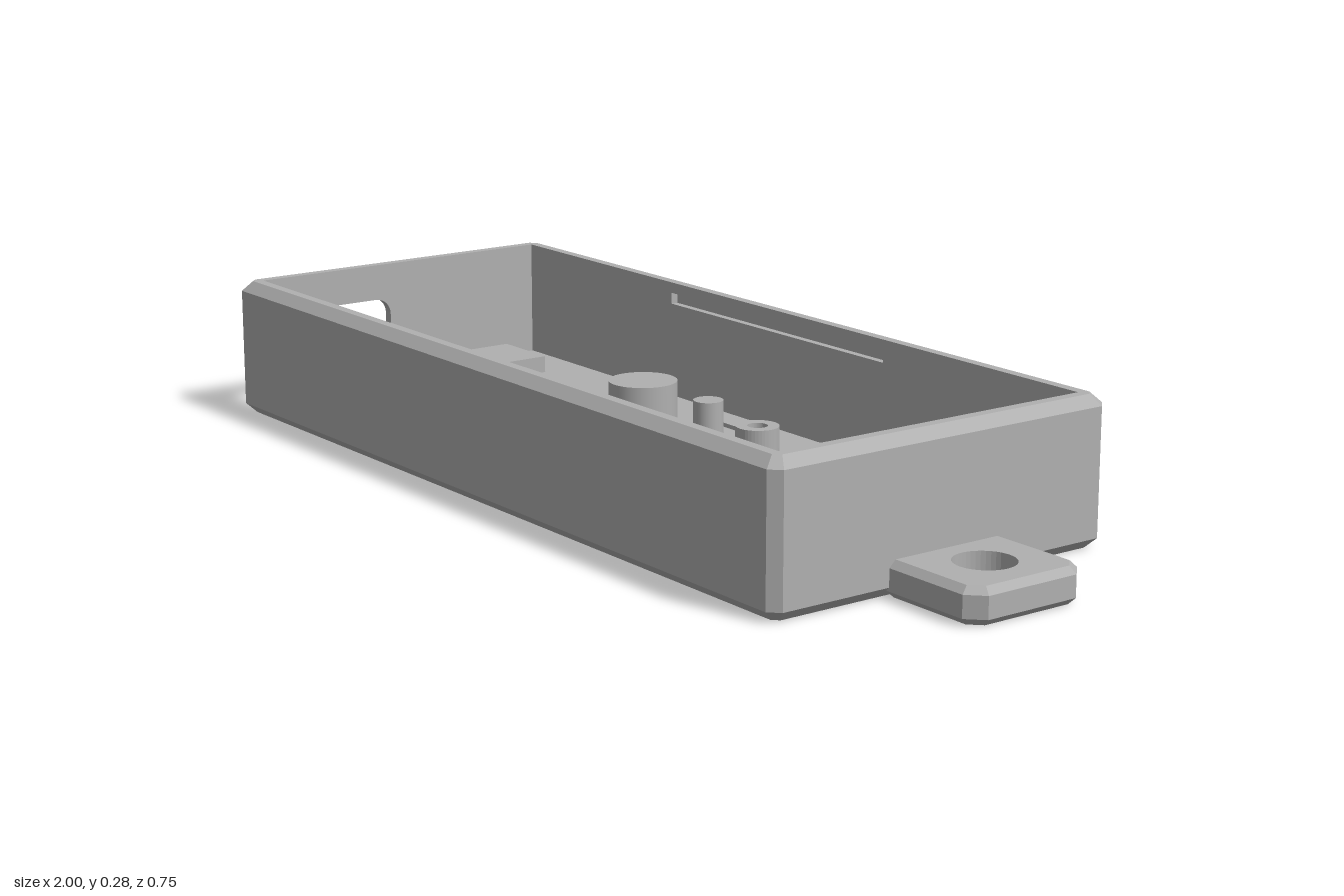
import * as THREE from 'three';

const grey = new THREE.MeshStandardMaterial({ color: 0xb0b0b0 });
grey.name = 'grey plastic';

// Rectangle with cut corners, as [x, z] points
function octagon(x0, x1, z0, z1, c) {
  return [[x1, z0 + c], [x1, z1 - c], [x1 - c, z1], [x0 + c, z1],
    [x0, z1 - c], [x0, z0 + c], [x0 + c, z0], [x1 - c, z0]];
}
const rect = (x0, x1, y0, y1) => [[x0, y0], [x1, y0], [x1, y1], [x0, y1]];
const vectors = (pts) => pts.map(([x, y]) => new THREE.Vector2(x, y));

function shapeOf(pts, ...holes) {
  const shape = new THREE.Shape(vectors(pts));
  shape.holes.push(...holes);
  return shape;
}
const polyHole = (pts) => new THREE.Path(vectors(pts));
const roundHole = (x, y, r) => new THREE.Path().absarc(x, y, r, 0, Math.PI * 2, true);

function roundedHole(x0, x1, y0, y1, r) {
  const p = new THREE.Path();
  p.absarc(x1 - r, y1 - r, r, 0, Math.PI / 2);
  p.absarc(x0 + r, y1 - r, r, Math.PI / 2, Math.PI);
  p.absarc(x0 + r, y0 + r, r, Math.PI, Math.PI * 1.5);
  p.absarc(x1 - r, y0 + r, r, Math.PI * 1.5, Math.PI * 2);
  p.closePath();
  return p;
}

const extrude = (shape, depth) =>
  new THREE.ExtrudeGeometry(shape, { depth, bevelEnabled: false, curveSegments: 20 });
// Horizontal slab: shape drawn in x, z, from y0 up to y1
const slab = (shape, y0, y1) => extrude(shape, y1 - y0).rotateX(Math.PI / 2).translate(0, y1, 0);
// End wall: shape drawn in z, y, from x0 to x1
const endWall = (shape, x0, x1) => extrude(shape, x1 - x0).rotateY(-Math.PI / 2).translate(x1, 0, 0);

// Flat-faced skin through sections [y, points]; skip(band, side) leaves a face open
function loft(sections, skip = () => false) {
  const pos = [];
  for (let k = 0; k < sections.length - 1; k++) {
    const [y0, low] = sections[k], [y1, high] = sections[k + 1];
    for (let i = 0; i < low.length; i++) {
      if (skip(k, i)) continue;
      const j = (i + 1) % low.length;
      const a = [low[i][0], y0, low[i][1]], b = [low[j][0], y0, low[j][1]];
      const c = [high[j][0], y1, high[j][1]], d = [high[i][0], y1, high[i][1]];
      pos.push(...a, ...d, ...c, ...a, ...c, ...b);
    }
  }
  const g = new THREE.BufferGeometry();
  g.setAttribute('position', new THREE.Float32BufferAttribute(pos, 3));
  g.computeVertexNormals();
  return g;
}

export function createModel() {
  const model = new THREE.Group();
  model.name = 'enclosureTray';
  const add = (name, geometry) => {
    const mesh = new THREE.Mesh(geometry, grey);
    mesh.name = name;
    model.add(mesh);
  };
  const box = (name, x0, x1, y0, y1, z0, z1) => add(name,
    new THREE.BoxGeometry(x1 - x0, y1 - y0, z1 - z0)
      .translate((x0 + x1) / 2, (y0 + y1) / 2, (z0 + z1) / 2));
  const post = (name, x, z, r, top) =>
    add(name, new THREE.CylinderGeometry(r, r, top - 0.03, 40).translate(x, (top + 0.03) / 2, z));

  // Chamfered outer skin, left open where the port wall goes
  const outer = octagon(-1, 0.79, -0.375, 0.375, 0.02);
  const inset = octagon(-0.98, 0.77, -0.355, 0.355, 0.012);
  add('outerWalls', loft([[0, inset], [0.02, outer], [0.26, outer], [0.28, inset]],
    (band, side) => band === 1 && side === 4));

  // Floor with the slit around the spring button and the light hole
  const slit = polyHole([[-0.225, -0.28], [-0.055, -0.28], [-0.055, 0.09], [-0.07, 0.09],
    [-0.07, -0.26], [-0.21, -0.26], [-0.21, 0.09], [-0.225, 0.09]]);
  add('floor', slab(shapeOf(inset, slit, roundHole(0.02, -0.2, 0.02)), 0, 0.04));

  // Rim
  add('rim', slab(shapeOf(inset, polyHole(rect(-0.96, 0.75, -0.335, 0.335))), 0.26, 0.28));

  // Port wall with a stepped opening
  add('portWallOuter', endWall(
    shapeOf(rect(-0.355, 0.355, 0.02, 0.26), roundedHole(0.01, 0.325, 0.035, 0.22, 0.045)), -1, -0.98));
  add('portWallInner', endWall(
    shapeOf(rect(-0.35, 0.35, 0.03, 0.265), roundedHole(0.03, 0.305, 0.05, 0.205, 0.035)), -0.98, -0.96));

  // Inner walls, the long ones with a snap groove
  box('innerEndWall', 0.75, 0.765, 0.03, 0.265, -0.345, 0.345);
  for (const s of [-1, 1]) {
    const wall = shapeOf(rect(-0.97, 0.76, 0.03, 0.265), polyHole(rect(-0.44, 0.23, 0.235, 0.258)));
    add('innerSideWall', extrude(wall, 0.015).translate(0, 0, s > 0 ? 0.335 : -0.35));
    box('grooveBack', -0.46, 0.25, 0.22, 0.262, s * 0.36 - 0.01, s * 0.36 + 0.01);
  }

  // Supports on the floor
  for (const [z0, z1] of [[-0.24, -0.113], [0.105, 0.232]]) box('supportPad', -0.92, -0.77, 0.03, 0.075, z0, z1);
  for (const [z0, z1] of [[-0.172, -0.125], [0.117, 0.164]]) box('supportRail', 0.155, 0.525, 0.03, 0.072, z0, z1);
  post('largePost', -0.315, -0.17, 0.07, 0.12);
  post('buttonPin', -0.137, -0.2, 0.03, 0.11);

  // Tube around the light hole
  const ring = new THREE.Shape().absarc(0.02, -0.2, 0.043, 0, Math.PI * 2);
  ring.holes.push(roundHole(0.02, -0.2, 0.02));
  add('lightTube', slab(ring, 0.035, 0.09));

  // Chamfered hanging tab with a hole
  const tab = octagon(0.752, 1, -0.128, 0.128, 0.03);
  const tabInset = octagon(0.765, 0.987, -0.115, 0.115, 0.022);
  add('tabSides', loft([[0, tabInset], [0.013, tab], [0.054, tab], [0.067, tabInset]]));
  add('tabCore', slab(shapeOf(tabInset, roundHole(0.883, 0, 0.056)), 0, 0.067));

  return model;
}
